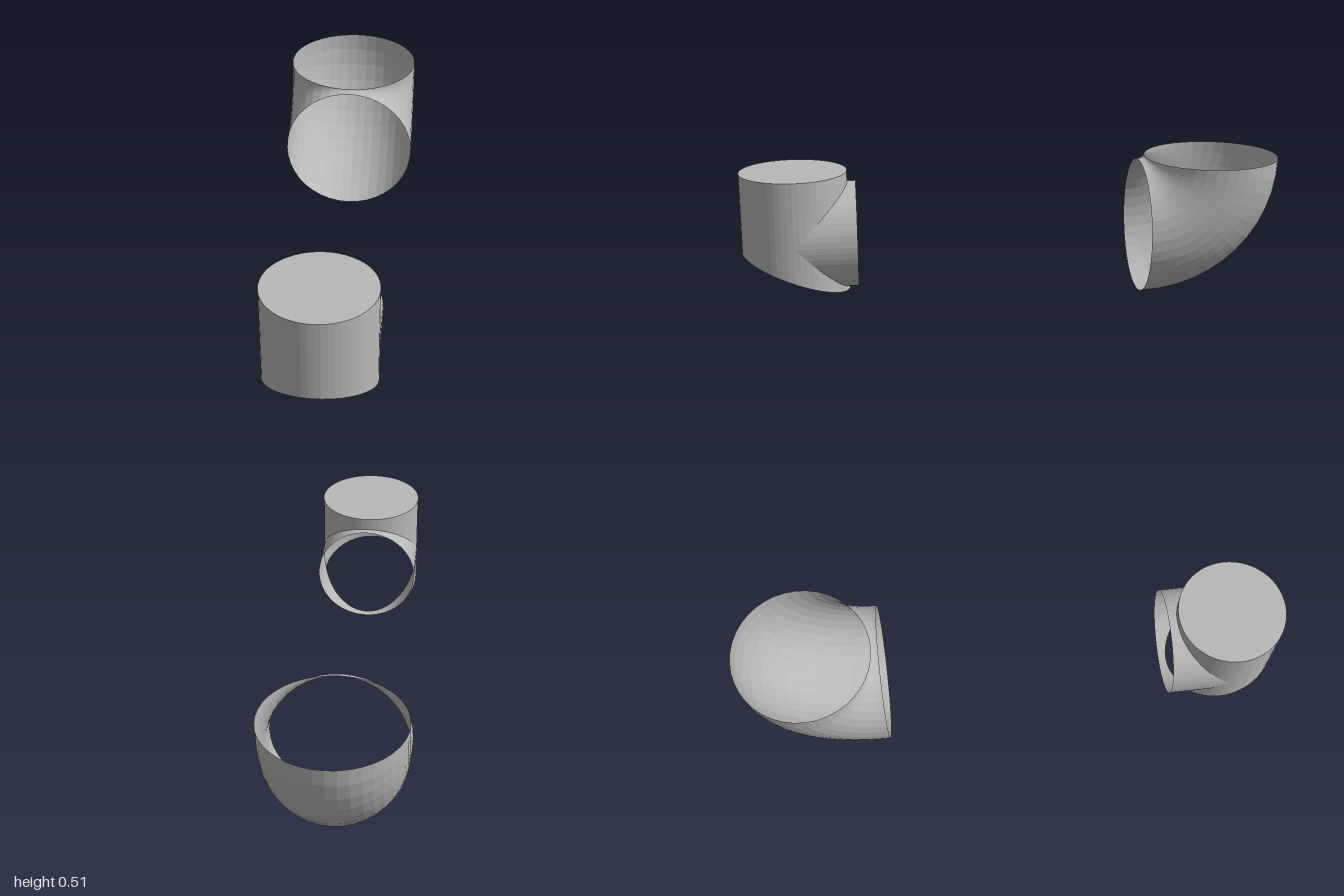
import * as THREE from 'three';

const V = (x, y, z) => new THREE.Vector3(x, y, z);

// Grid surface from a rule f(u, v), with u and v in 0..1
function surface(f, nu, nv) {
  const positions = [], index = [];
  for (let j = 0; j <= nv; j++)
    for (let i = 0; i <= nu; i++) positions.push(...f(i / nu, j / nv).toArray());
  for (let j = 0; j < nv; j++)
    for (let i = 0; i < nu; i++) {
      const a = j * (nu + 1) + i, b = a + 1, c = a + nu + 1, d = c + 1;
      index.push(a, b, d, a, d, c);
    }
  const g = new THREE.BufferGeometry();
  g.setAttribute('position', new THREE.Float32BufferAttribute(positions, 3));
  g.setIndex(index);
  g.computeVertexNormals();
  return g;
}

export function createModel() {
  const model = new THREE.Group();
  model.name = 'pipeFittings';
  const grey = new THREE.MeshStandardMaterial({ color: 0xb8b8b8, side: THREE.DoubleSide, flatShading: true });
  grey.name = 'grey';

  const add = (parent, name, geometry) => {
    const mesh = new THREE.Mesh(geometry, grey);
    mesh.name = name;
    parent.add(mesh);
    return mesh;
  };

  // Spout: upright tube with a closed top, a slanted open foot and a rear socket
  const spout = new THREE.Group();
  spout.name = 'spout';
  spout.position.z = 0.805;
  model.add(spout);
  const r = 0.195, top = 0.495, axisY = 0.255, socketEnd = -0.225;
  const foot = z => 0.2 + (z - r) * 0.385;

  // Tube wall strip between two height rules, from angle a0 to a1
  const wall = (a0, a1, low, high, n) => surface((u, v) => {
    const a = a0 + (a1 - a0) * u, z = r * Math.cos(a);
    return V(r * Math.sin(a), THREE.MathUtils.lerp(low(z), high(z), v), z);
  }, n, 1);
  const q = Math.PI / 2;
  add(spout, 'frontWall', wall(-q, q, foot, () => top, 28));
  add(spout, 'upperRearWall', wall(q, 3 * q, z => axisY - z, () => top, 28));
  add(spout, 'lowerRearWall', wall(q, 3 * q, foot, z => axisY + z, 28));

  const lid = add(spout, 'lid', new THREE.CircleGeometry(r, 56));
  lid.rotation.x = -q;
  lid.position.y = top;

  // Socket: level tube mitred into the upright one
  add(spout, 'socket', surface((u, v) => {
    const a = u * Math.PI * 2, h = r * Math.sin(a);
    return V(r * Math.cos(a), axisY + h, THREE.MathUtils.lerp(socketEnd, -Math.abs(h), v));
  }, 56, 1));

  // Elbow: open quarter bend from a front mouth to a top mouth
  const R = 0.25, pivotY = 0.51, pivotZ = -0.475, bendY = 0.26, bendZ = 0.275;
  add(model, 'elbow', surface((u, v) => {
    const a = u * Math.PI * 2, b = v * q, out = R * Math.cos(a);
    return V(R * Math.sin(a), pivotY - (bendY + out) * Math.cos(b), pivotZ - (bendZ + out) * Math.sin(b));
  }, 40, 12));

  return model;
}
